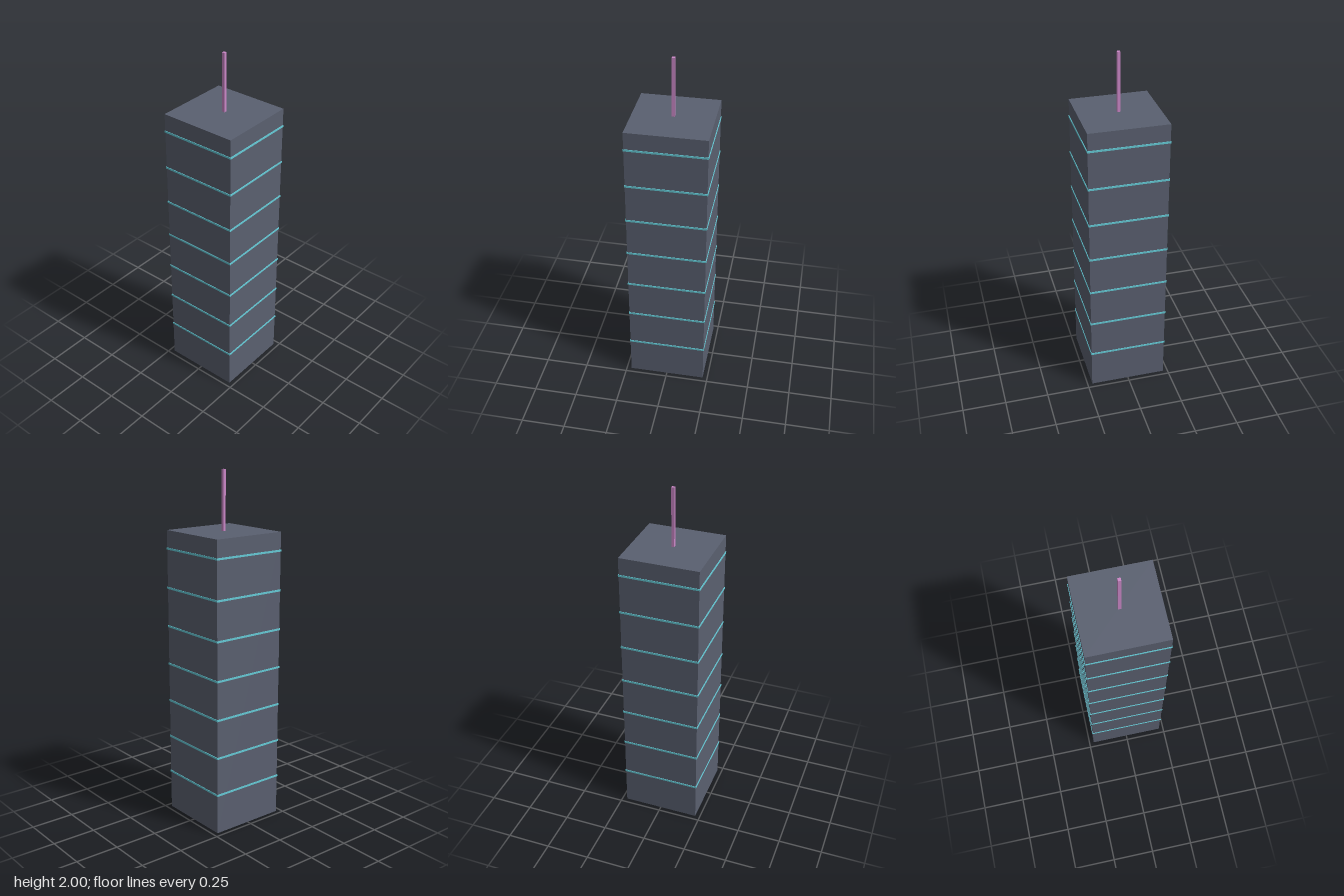
import * as THREE from 'three';

export function createModel() {
  const group = new THREE.Group();

  // Square block standing with its underside at the given height
  const block = (name, width, height, bottom, color) => {
    const mesh = new THREE.Mesh(
      new THREE.BoxGeometry(width, height, width),
      new THREE.MeshStandardMaterial({ color })
    );
    mesh.name = name;
    mesh.position.y = bottom + height / 2;
    group.add(mesh);
  };

  // Tower body
  const towerHeight = 1.667;
  block('tower', 0.444, towerHeight, 0, 0x5a6070);

  // Glowing bands wrapped around the tower at even spacing
  const bandHeight = 0.011;
  for (let i = 0; i < 7; i++) {
    block(`band${i + 1}`, 0.45, bandHeight, 0.231 + i * 0.2222 - bandHeight / 2, 0x66ccd8);
  }

  // Roof antenna
  block('antenna', 0.0165, 2 - towerHeight, towerHeight, 0xcc88c8);

  return group;
}
